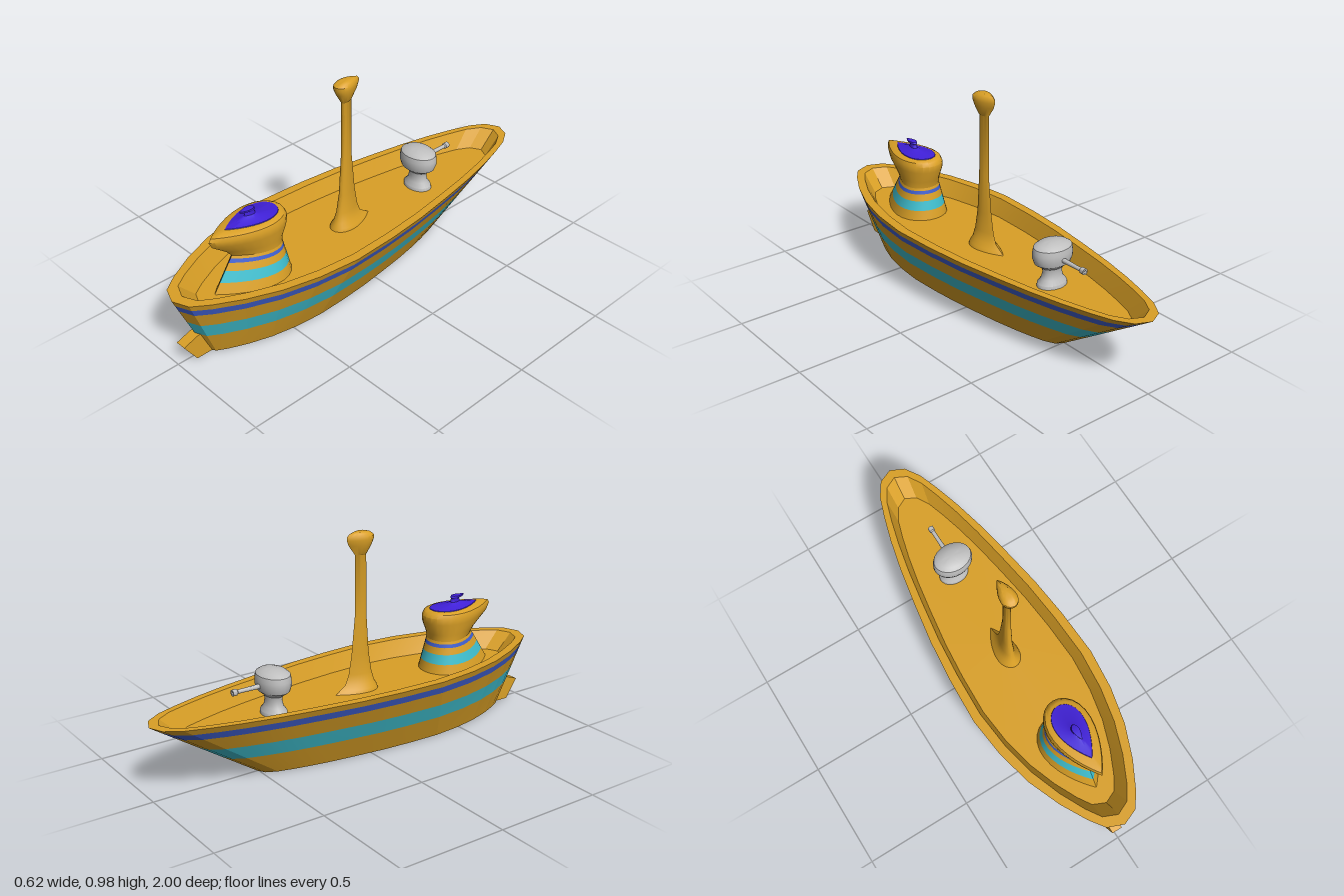
import * as THREE from 'three';
import { toCreasedNormals } from 'three/addons/utils/BufferGeometryUtils.js';

const mat = (name, color) => {
  const m = new THREE.MeshStandardMaterial({ color });
  m.name = name;
  return m;
};

// Outlines seen from above, counter-clockwise from +z, in unit space [x, z]
const hullHalf = [[0, 1], [.075, .97], [.125, .9], [.19, .78], [.25, .63], [.29, .46], [.31, .27], [.3, .05],
  [.28, -.15], [.248, -.35], [.215, -.53], [.18, -.68], [.145, -.8], [.11, -.9], [.065, -.97], [0, -1]]
  .map(([x, z]) => [x / .31, z]);
const hullOutline = [...hullHalf, ...hullHalf.slice(1, -1).reverse().map(([x, z]) => [-x, z])];

const teardrop = Array.from({ length: 28 }, (_, i) => {
  const a = i / 28 * Math.PI * 2;
  return [Math.sin(a) * Math.pow(Math.abs(Math.sin(a / 2)), .9) / .79, Math.cos(a)];
});
const teardropBack = teardrop.map(([x, z]) => [x, -z]).reverse();

// Skin through rings [y, half width, back z, front z], with optional end caps
function loft(outline, rings, { bottom = false, top = false, crease = 0.6 } = {}) {
  const n = outline.length, pos = [], idx = [];
  for (const [y, hx, z0, z1] of rings)
    for (const [x, z] of outline) pos.push(x * hx, y, (z0 + z1) / 2 + z * (z1 - z0) / 2);
  for (let i = 0; i < rings.length - 1; i++)
    for (let j = 0; j < n; j++) {
      const a = i * n + j, b = i * n + (j + 1) % n;
      idx.push(a, b, b + n, a, b + n, a + n);
    }
  const cap = (i, up) => {
    const [y, , z0, z1] = rings[i], c = pos.length / 3;
    pos.push(0, y, (z0 + z1) / 2);
    for (let j = 0; j < n; j++) {
      const a = i * n + j, b = i * n + (j + 1) % n;
      idx.push(c, up ? a : b, up ? b : a);
    }
  };
  if (bottom) cap(0, false);
  if (top) cap(rings.length - 1, true);
  const g = new THREE.BufferGeometry();
  g.setAttribute('position', new THREE.Float32BufferAttribute(pos, 3));
  g.setIndex(idx);
  return toCreasedNormals(g, crease);
}

export function createModel() {
  const gold = mat('gold', 0xdaa026), blue = mat('blue', 0x4060d0), cyan = mat('cyan', 0x40c0d0);
  const purple = mat('purple', 0x4020d8), grey = mat('grey', 0xc0c0c0);
  const model = new THREE.Group();
  const add = (name, geo, material, parent = model) => {
    const m = new THREE.Mesh(geo, material);
    m.name = name;
    parent.add(m);
    return m;
  };
  const group = name => {
    const g = new THREE.Group();
    g.name = name;
    model.add(g);
    return g;
  };

  // Hull: flared sides in painted bands, then rim, inner wall and deck
  const hull = group('hull');
  const hullRing = y => {
    const t = y / .33;
    return [y, .165 + .145 * t, -.505 - .495 * t, .855 + .145 * t];
  };
  const bands = [[0, .115, gold], [.115, .19, cyan], [.19, .265, gold], [.265, .3, blue], [.3, .33, gold]];
  bands.forEach(([y0, y1, m], i) => add('hullBand' + (i + 1),
    loft(hullOutline, [hullRing(y0), hullRing(y1)], { bottom: i === 0, crease: .1 }), m, hull));
  add('rimAndDeck', loft(hullOutline,
    [hullRing(.33), [.33, .268, -.955, .95], [.25, .24, -.87, .87]], { top: true, crease: .2 }), gold, hull);

  // Stern rudder
  const rudder = new THREE.Shape([[.83, 0], [.92, 0], [.98, .09], [.91, .115], [.87, .115]]
    .map(([z, y]) => new THREE.Vector2(-z, y)));
  const rudderGeo = new THREE.ExtrudeGeometry(rudder, { depth: .05, bevelEnabled: false });
  rudderGeo.translate(0, 0, -.025).rotateY(Math.PI / 2);
  add('rudder', rudderGeo, gold);

  // Cabin tower: striped base and overhanging head
  const tower = group('tower');
  const towerRing = y => {
    const t = (y - .25) / .15;
    return [y, .124 - .039 * t, .41 + .036 * t, .79 - .1 * t];
  };
  [[.25, .295, gold], [.295, .34, cyan], [.34, .372, gold], [.372, .388, blue], [.388, .4, gold]]
    .forEach(([y0, y1, m], i) => add('towerBand' + (i + 1),
      loft(teardrop, [towerRing(y0), towerRing(y1)]), m, tower));
  add('towerHead', loft(teardrop, [towerRing(.4), [.43, .087, .44, .715], [.485, .1, .417, .785],
    [.515, .101, .415, .8], [.532, .095, .425, .79], [.54, .08, .44, .755]], { top: true }), gold, tower);
  add('towerCap', loft(teardrop, [[.538, .07, .45, .72], [.543, .068, .452, .715], [.55, .03, .53, .66],
    [.56, .014, .56, .615], [.575, .012, .565, .61], [.58, .015, .56, .635], [.589, .016, .565, .638],
    [.592, .01, .575, .62]], { top: true }), purple, tower);

  // Mast with flared foot and bulbous top
  add('mast', loft(teardropBack, [[.25, .055, -.09, .13], [.265, .05, -.07, .125], [.285, .036, -.04, .113],
    [.33, .024, -.022, .1], [.42, .018, -.006, .085], [.6, .015, .012, .072], [.875, .013, .012, .07],
    [.88, .018, .01, .072], [.92, .032, -.02, .095], [.945, .037, -.03, .105], [.96, .036, -.03, .105],
    [.972, .028, -.018, .09], [.978, .018, 0, .07]], { top: true }), gold);

  // Deck gun: oval turret on a pedestal with a flared barrel
  const gun = group('gun');
  const profile = [[.072, .25], [.07, .265], [.052, .285], [.045, .315], [.05, .335], [.086, .36], [.095, .385],
    [.095, .41], [.09, .432], [.07, .445], [.035, .453], [0, .456]].map(p => new THREE.Vector2(...p));
  const turret = add('turret', toCreasedNormals(new THREE.LatheGeometry(profile, 24), .6), grey, gun);
  turret.scale.z = .76;
  turret.position.z = -.415;
  const barrelProfile = [[.016, 0], [.011, .06], [.009, .13], [.009, .165], [.014, .17], [.014, .19], [.007, .19],
    [0, .18]].map(p => new THREE.Vector2(...p));
  const barrel = add('barrel', toCreasedNormals(new THREE.LatheGeometry(barrelProfile, 12), .6), grey, gun);
  barrel.rotation.x = -Math.PI / 2;
  barrel.position.set(0, .387, -.425);

  return model;
}
